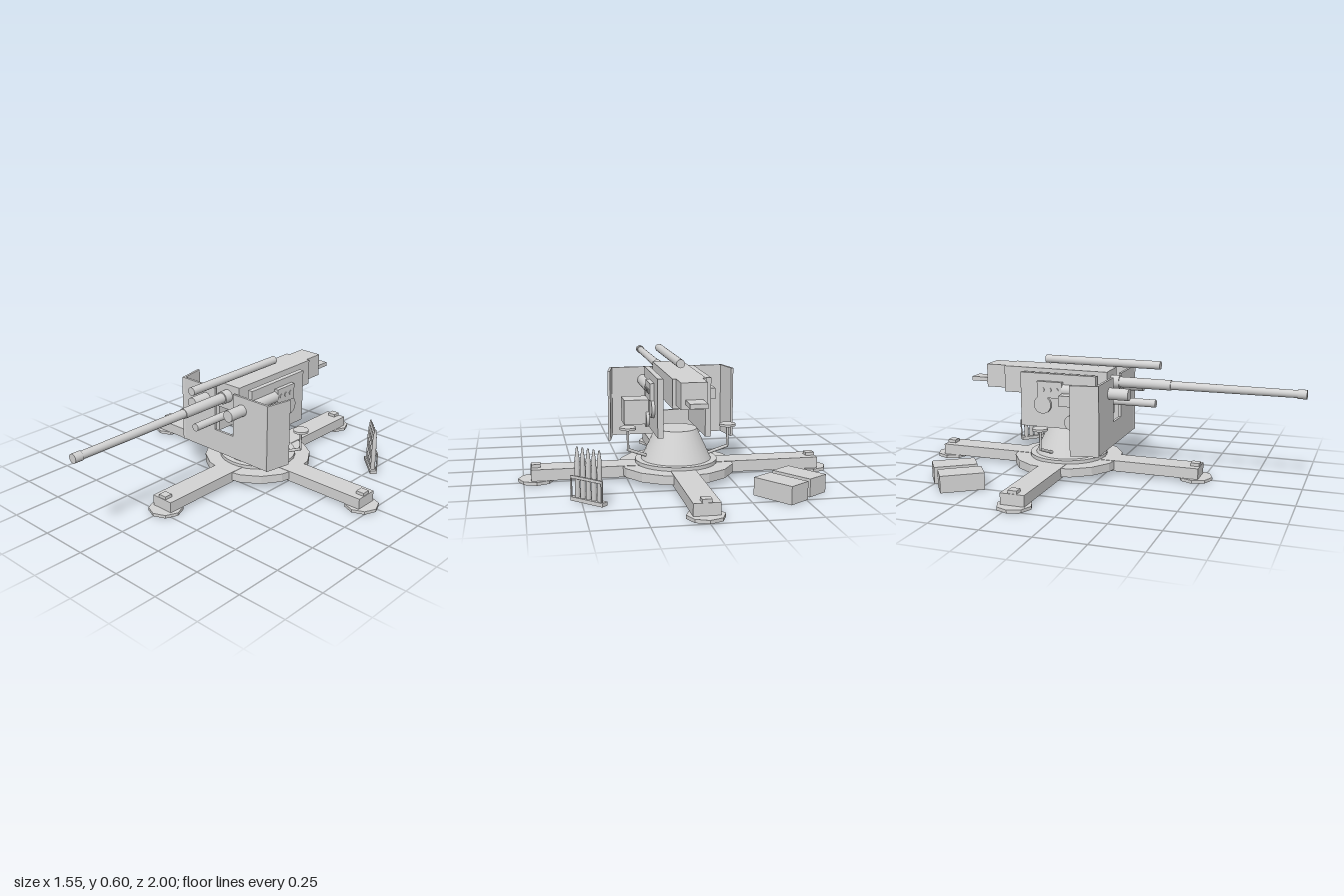
import * as THREE from 'three';

const CZ = -0.225; // z of the pedestal axis

export function createModel() {
  const model = new THREE.Group();
  const grey = new THREE.MeshStandardMaterial({ color: 0xd2d2d2 });
  grey.name = 'lightGrey';

  const add = (name, geo, x, y, z, parent = model) => {
    const m = new THREE.Mesh(geo, grey);
    m.name = name;
    m.position.set(x, y, z);
    parent.add(m);
    return m;
  };
  // box given by its limits
  const box = (name, x0, x1, y0, y1, z0, z1, parent) =>
    add(name, new THREE.BoxGeometry(x1 - x0, y1 - y0, z1 - z0),
      (x0 + x1) / 2, (y0 + y1) / 2, (z0 + z1) / 2, parent);
  // upright round part from y0 to y1, faceted when it has few sides
  const disc = (name, rTop, rBottom, y0, y1, x, z, sides = 32) => {
    let geo = new THREE.CylinderGeometry(rTop, rBottom, y1 - y0, sides);
    if (sides <= 16) {
      geo = geo.toNonIndexed();
      geo.computeVertexNormals();
    }
    add(name, geo, x, (y0 + y1) / 2, z);
  };
  // round part along z
  const tube = (name, rFront, rBack, z0, z1, x, y) =>
    add(name, new THREE.CylinderGeometry(rFront, rBack, z1 - z0, 24).rotateX(Math.PI / 2),
      x, y, (z0 + z1) / 2);
  // round part along x
  const knob = (name, r, x0, x1, y, z) =>
    add(name, new THREE.CylinderGeometry(r, r, Math.abs(x1 - x0), 20).rotateZ(Math.PI / 2),
      (x0 + x1) / 2, y, z);
  // rod between two points
  const rod = (name, a, b, r) => {
    const d = b.clone().sub(a);
    const m = add(name, new THREE.CylinderGeometry(r, r, d.length(), 8), 0, 0, 0);
    m.position.copy(a).add(b).multiplyScalar(0.5);
    m.quaternion.setFromUnitVectors(new THREE.Vector3(0, 1, 0), d.normalize());
  };

  // cross-shaped base with foot pads
  box('crossArm', -0.715, 0.715, 0.016, 0.072, CZ - 0.061, CZ + 0.061);
  box('longArm', -0.061, 0.061, 0.016, 0.072, CZ - 0.715, CZ + 0.715);
  for (let i = 0; i < 4; i++) {
    const a = i * Math.PI / 2;
    const x = 0.69 * Math.sin(a), z = CZ + 0.69 * Math.cos(a);
    disc('footPad', 0.0865, 0.0865, 0, 0.016, x, z, 8);
    box('armBolt', x - 0.022, x + 0.022, 0.072, 0.088, z - 0.022, z + 0.022);
  }
  disc('platform', 0.284, 0.284, 0.026, 0.07, 0, CZ, 16);
  disc('turntable', 0.203, 0.203, 0.07, 0.088, 0, CZ);
  disc('pedestal', 0.103, 0.173, 0.088, 0.24, 0, CZ);

  // gun body and breech
  box('receiver', -0.078, 0.078, 0.4, 0.537, -0.553, 0.014);
  box('breech', -0.061, 0.061, 0.416, 0.537, -0.663, -0.553);
  box('loadingTray', -0.04, 0.04, 0.438, 0.46, -0.763, -0.663);

  // barrel and recoil tubes
  tube('barrelCollar', 0.033, 0.033, 0, 0.06, 0, 0.476);
  tube('barrelSleeve', 0.026, 0.027, 0.06, 0.33, 0, 0.476);
  tube('barrelFront', 0.019, 0.022, 0.33, 0.955, 0, 0.476);
  tube('muzzle', 0.023, 0.023, 0.955, 1, 0, 0.476);
  tube('upperRecoilTube', 0.021, 0.021, -0.345, 0.273, 0, 0.574);
  tube('lowerRecoilTube', 0.02, 0.02, -0.345, 0.25, 0, 0.376);

  // shield front with a slot for the gun
  const s = new THREE.Shape([
    [-0.293, 0.155], [0.293, 0.155], [0.293, 0.509], [0.062, 0.509],
    [0.062, 0.278], [-0.062, 0.278], [-0.062, 0.509], [-0.293, 0.509],
  ].map(([x, y]) => new THREE.Vector2(x, y)));
  add('shieldFront', new THREE.ExtrudeGeometry(s, { depth: 0.013, bevelEnabled: false }), 0, 0, 0.031);

  // parts repeated on both sides
  for (const k of [-1, 1]) {
    // swept-back shield wing
    const w = new THREE.Shape([
      [0.283, 0.044], [0.295, 0.048], [0.322, -0.094], [0.31, -0.097],
    ].map(([x, z]) => new THREE.Vector2(k * x, -z)));
    const wing = new THREE.ExtrudeGeometry(w, { depth: 0.354, bevelEnabled: false });
    add('shieldWing', wing.rotateX(-Math.PI / 2), 0, 0.155, 0);

    const side = (name, x0, x1, ...rest) =>
      box(name, Math.min(k * x0, k * x1), Math.max(k * x0, k * x1), ...rest);
    side('cradlePlate', 0.1, 0.127, 0.238, 0.52, -0.44, -0.028);
    tube('balanceTube', 0.03, 0.03, -0.205, 0.148, k * 0.124, 0.439);

    // instrument panel and handwheels
    side('instrumentPanel', 0.127, 0.148, 0.398, 0.482, -0.34, -0.205);
    for (const z of [-0.31, -0.272, -0.234]) knob('dial', 0.012, k * 0.148, k * 0.152, 0.44, z);
    knob('rearHandwheel', 0.047, k * 0.127, k * 0.142, 0.359, -0.315);
    knob('frontHandwheel', 0.04, k * 0.127, k * 0.142, 0.274, -0.155);

    // crew seat
    disc('seat', 0.04, 0.04, 0.252, 0.264, k * 0.247, -0.283, 24);
    rod('seatPost', new THREE.Vector3(k * 0.247, 0.15, -0.283), new THREE.Vector3(k * 0.247, 0.255, -0.283), 0.006);
    rod('seatStrut', new THREE.Vector3(k * 0.25, 0.153, -0.283), new THREE.Vector3(k * 0.14, 0.108, -0.255), 0.008);
  }
  box('sightBox', 0.127, 0.25, 0.25, 0.373, -0.17, -0.055);
  box('fuzeBox', -0.205, -0.127, 0.372, 0.427, -0.2, -0.13);

  // shell rack, railed along its outer side
  const rack = new THREE.Group();
  rack.name = 'shellRack';
  rack.position.set(0.47, 0, -0.622);
  rack.rotation.y = -Math.PI / 4;
  model.add(rack);
  box('rackBase', -0.092, 0.092, 0, 0.018, -0.018, 0.018, rack);
  box('rackRail', -0.092, 0.092, 0.105, 0.118, -0.018, -0.012, rack);
  for (const k of [-1, 1])
    box('rackPost', k * 0.0885 - 0.0035, k * 0.0885 + 0.0035, 0.018, 0.105, -0.018, -0.012, rack);
  const profile = [[0, 0.018], [0.012, 0.018], [0.012, 0.165], [0.0105, 0.182], [0.0105, 0.2], [0.004, 0.248], [0, 0.25]]
    .map(([r, y]) => new THREE.Vector2(r, y));
  for (let i = -2; i <= 2; i++) add('shell', new THREE.LatheGeometry(profile, 12), i * 0.032, 0, 0, rack);

  // ammunition crates
  for (const [x, z] of [[-0.516, -0.593], [-0.397, -0.693]]) {
    add('crate', new THREE.BoxGeometry(0.12, 0.086, 0.217), x, 0.043, z).rotation.y = 0.61;
  }
  return model;
}
